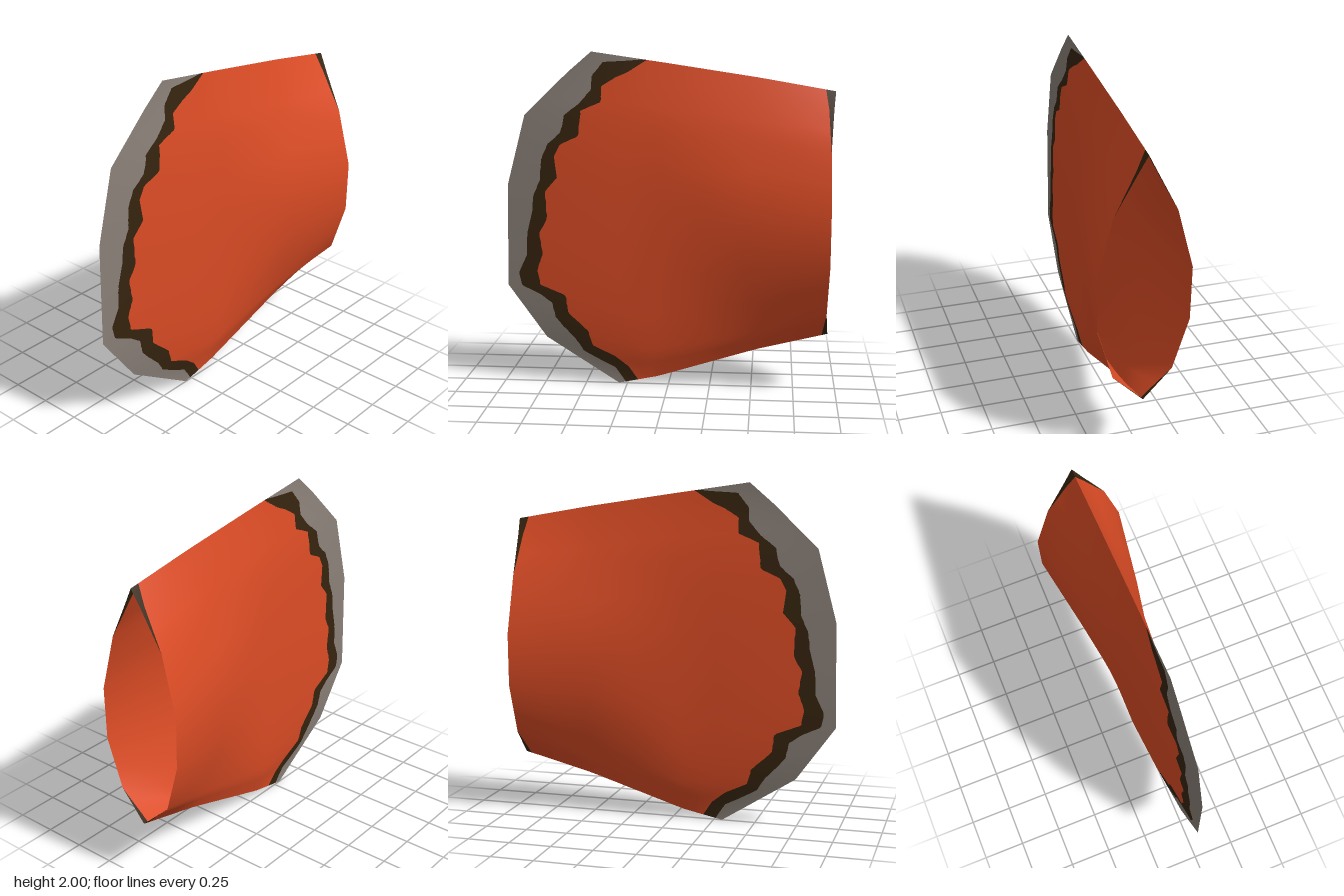
import * as THREE from 'three';

// Rows run from the keel to the top ridge; each holds [z, y, half width] from open rim to front edge.
const ROWS = [
  [[-0.95, 0.34, 0], [-0.53, 0.235, 0], [0.06, 0.05, 0], [0.30, 0, 0]],
  [[-0.935, 0.50, 0.17], [-0.50, 0.36, 0.07], [0.08, 0.24, 0.06], [0.74, 0.28, 0]],
  [[-0.945, 0.80, 0.26], [-0.47, 0.74, 0.17], [0.04, 0.68, 0.085], [0.97, 0.60, 0]],
  [[-0.945, 1.11, 0.265], [-0.47, 1.13, 0.19], [0.04, 1.16, 0.09], [0.96, 1.21, 0]],
  [[-0.94, 1.45, 0.175], [-0.47, 1.50, 0.11], [0.04, 1.55, 0.07], [0.85, 1.63, 0]],
  [[-0.955, 1.68, 0.053], [-0.50, 1.73, 0.04], [0.05, 1.80, 0.025], [0.59, 1.88, 0]],
  [[-0.965, 1.78, 0], [-0.53, 1.855, 0], [0.0, 1.935, 0], [0.45, 2.0, 0]],
];
// A slightly swollen column just behind the front edge
for (const r of ROWS) {
  const [a, b] = [r[2], r[3]];
  r.splice(3, 0, [(a[0] + b[0]) / 2, (a[1] + b[1]) / 2, a[2] * 0.6]);
}
const U = ROWS.length - 1, V = 4;

// Scalloped colour borders as [z, y], listed from bottom to top
const OUTER = [[0.26, 0.01], [0.32, 0.10], [0.40, 0.14], [0.51, 0.20], [0.56, 0.28], [0.64, 0.36],
  [0.68, 0.41], [0.70, 0.50], [0.77, 0.55], [0.88, 0.60], [0.90, 0.68], [0.85, 0.79], [0.85, 0.84],
  [0.84, 0.94], [0.81, 1.05], [0.80, 1.16], [0.76, 1.24], [0.75, 1.37], [0.71, 1.46], [0.63, 1.53],
  [0.61, 1.63], [0.52, 1.70], [0.45, 1.78], [0.445, 1.86], [0.38, 1.94], [0.24, 1.948], [0.12, 1.958]];
const INNER = [[0.185, 0.025], [0.24, 0.11], [0.32, 0.175], [0.455, 0.24], [0.48, 0.33], [0.60, 0.44],
  [0.615, 0.55], [0.77, 0.61], [0.785, 0.70], [0.75, 0.80], [0.77, 0.92], [0.72, 1.02], [0.73, 1.18],
  [0.655, 1.26], [0.67, 1.39], [0.635, 1.46], [0.525, 1.51], [0.51, 1.66], [0.39, 1.71], [0.39, 1.80],
  [0.31, 1.85], [0.24, 1.88], [0.12, 1.955]];

const clamp = THREE.MathUtils.clamp, lerp = THREE.MathUtils.lerp;

function surface(u, v) {
  u = clamp(u, 0, U); v = clamp(v, 0, V);
  const i = Math.min(Math.floor(u), U - 1), j = Math.min(Math.floor(v), V - 1);
  const c = (k) => lerp(lerp(ROWS[i][j][k], ROWS[i][j + 1][k], v - j),
    lerp(ROWS[i + 1][j][k], ROWS[i + 1][j + 1][k], v - j), u - i);
  return new THREE.Vector3(c(2), c(1), c(0));
}

// Wide differences soften the coarse panels into one smooth skin
function normalAt(u, v) {
  const du = surface(u + 0.5, v).sub(surface(u - 0.5, v));
  const dv = surface(u, v + 0.5).sub(surface(u, v - 0.5));
  return du.cross(dv).normalize();
}

function borderZ(line, y) {
  if (y <= line[0][1]) return line[0][0];
  for (let i = 1; i < line.length; i++) {
    const [a, b] = [line[i - 1], line[i]];
    if (y <= b[1]) return lerp(a[0], b[0], (y - a[1]) / (b[1] - a[1]));
  }
  return line[line.length - 1][0];
}

// Where a line of constant u first meets a border
function crossing(line, u) {
  for (let v = 1; v < V; v += 0.01) {
    const p = surface(u, v);
    if (p.z >= borderZ(line, p.y)) return v;
  }
  return V;
}

// Skin between two limits along v, on one side of the body
function band(side, from, to, steps, u0 = 0, u1 = U) {
  const pos = [], nor = [], idx = [], n = Math.round((u1 - u0) * 30);
  for (let i = 0; i <= n; i++) {
    const u = lerp(u0, u1, i / n), a = from(u), b = to(u);
    for (let j = 0; j <= steps; j++) {
      const v = lerp(a, b, j / steps), p = surface(u, v), m = normalAt(u, v);
      pos.push(p.x * side, p.y, p.z);
      nor.push(m.x * side, m.y, m.z);
      if (i < n && j < steps) {
        const k = i * (steps + 1) + j, up = k + steps + 1;
        if (side > 0) idx.push(k, up, k + 1, up, up + 1, k + 1);
        else idx.push(k, k + 1, up, up, k + 1, up + 1);
      }
    }
  }
  const g = new THREE.BufferGeometry();
  g.setAttribute('position', new THREE.Float32BufferAttribute(pos, 3));
  g.setAttribute('normal', new THREE.Float32BufferAttribute(nor, 3));
  g.setIndex(idx);
  return g;
}

export function createModel() {
  const material = (name, color) => {
    const m = new THREE.MeshStandardMaterial({ color, side: THREE.DoubleSide });
    m.name = name;
    return m;
  };
  const orange = material('orange', 0xdc4c25);
  const brown = material('dark brown', 0x36240f);
  const grey = material('warm grey', 0x8a8078);

  const model = new THREE.Group();
  model.name = 'tailFin';
  const rim = () => 0, front = () => V;
  const rimTrim = (u) => Math.max(0, 0.065 * (u - 4), 0.08 * (1 - u));
  const inner = (u) => crossing(INNER, u);
  const outer = (u) => Math.max(inner(u), crossing(OUTER, u));

  for (const side of [1, -1]) {
    const half = new THREE.Group();
    half.name = side > 0 ? 'leftHalf' : 'rightHalf';
    const add = (name, mat, ...args) => {
      const mesh = new THREE.Mesh(band(side, ...args), mat);
      mesh.name = name;
      half.add(mesh);
    };
    add('body', orange, rimTrim, inner, 24);
    add('scallopedBand', brown, inner, outer, 4);
    add('frontEdge', grey, outer, front, 6);
    // Dark corners of the open rim
    add('lowerRimCorner', brown, rim, rimTrim, 1, 0, 1);
    add('upperRimCorner', brown, rim, rimTrim, 1, 4, U);
    model.add(half);
  }
  return model;
}
